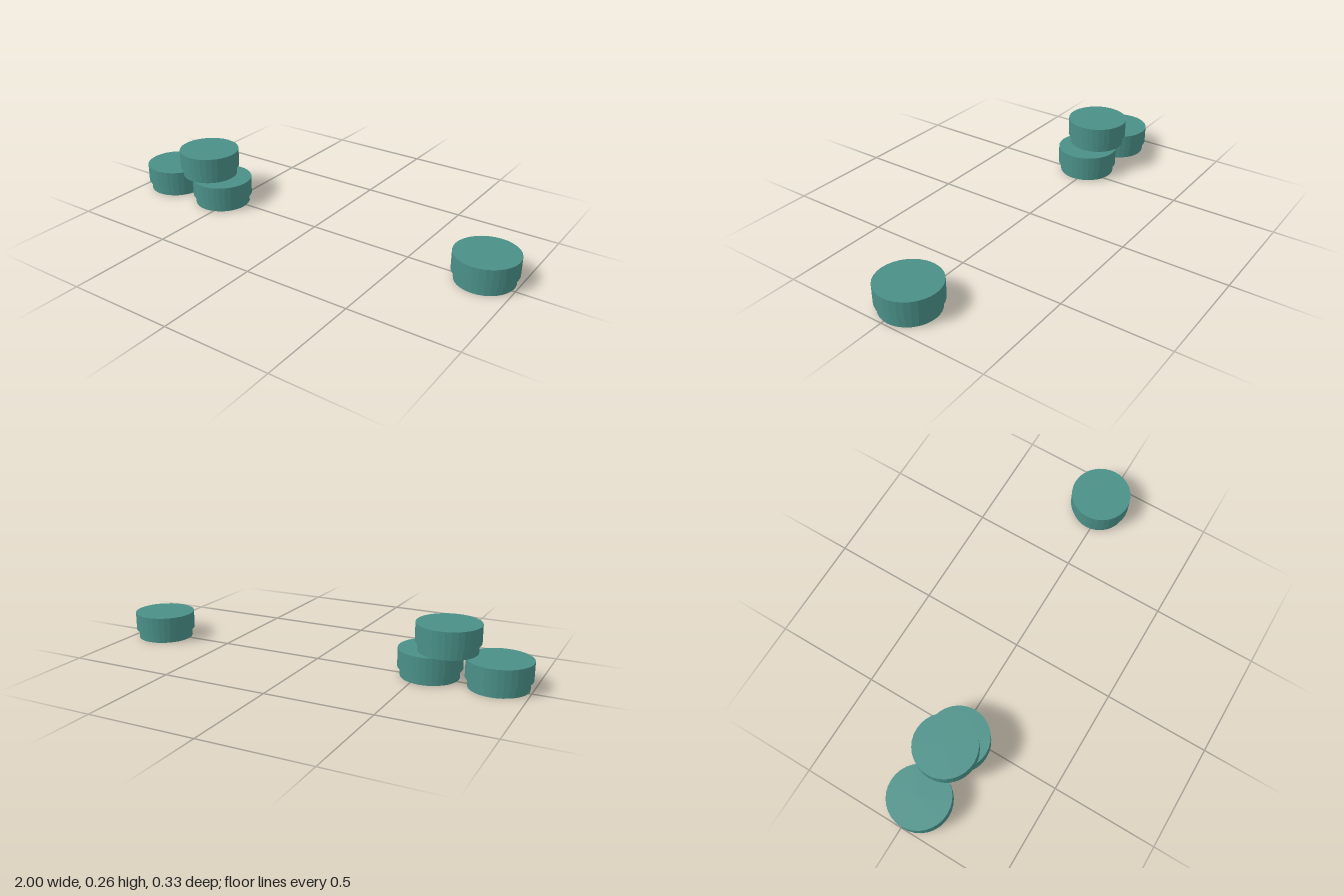
import * as THREE from 'three';

export function createModel() {
  const model = new THREE.Group();
  const teal = new THREE.MeshStandardMaterial({ color: 0x4a9088, flatShading: true });
  teal.name = 'teal';

  const baseHeight = 0.043, capHeight = 0.085, stackHeight = baseHeight + capHeight;
  const baseGeometry = new THREE.CylinderGeometry(0.133, 0.133, baseHeight, 32);
  const capGeometry = new THREE.CylinderGeometry(0.145, 0.145, capHeight, 32);

  // One round puck: a narrow base under a wider cap
  function addPuck(name, x, y, z) {
    const puck = new THREE.Group();
    puck.name = name;
    const base = new THREE.Mesh(baseGeometry, teal);
    base.name = 'base';
    base.position.y = baseHeight / 2;
    const cap = new THREE.Mesh(capGeometry, teal);
    cap.name = 'cap';
    cap.position.y = baseHeight + capHeight / 2;
    puck.add(base, cap);
    puck.position.set(x, y, z);
    model.add(puck);
  }

  // Small stack of three, and one lying apart
  addPuck('outerPuck', -0.855, 0, 0.017);
  addPuck('innerPuck', -0.545, 0, 0.022);
  addPuck('topPuck', -0.625, stackHeight, 0.017);
  addPuck('separatePuck', 0.855, 0, -0.022);

  return model;
}
